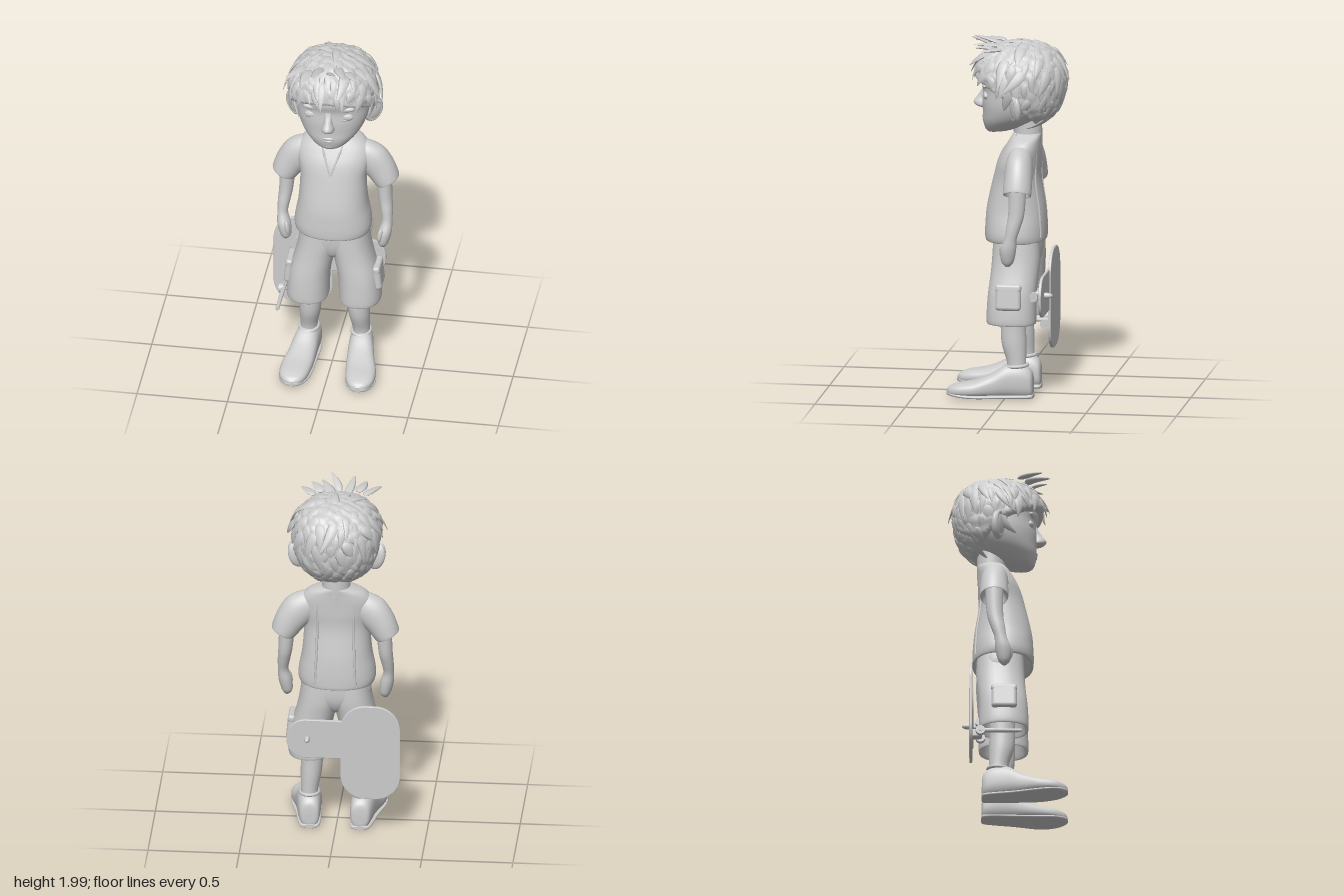
import * as THREE from 'three';
import { mergeGeometries } from 'three/addons/utils/BufferGeometryUtils.js';
import { RoundedBoxGeometry } from 'three/addons/geometries/RoundedBoxGeometry.js';

const clay = new THREE.MeshStandardMaterial({ color: 0xcccccc, side: THREE.DoubleSide });
clay.name = 'clay grey';

let seed = 7;
const rnd = () => (seed = (seed * 16807) % 2147483647) / 2147483647;

const cubic = (a, b, c, d, t) =>
  b + 0.5 * t * (c - a + t * (2 * a - 5 * b + 4 * c - d + t * (3 * (b - c) + d - a)));

// Smooth skin through rings [cx, y, cz, rx, rz, slope], listed bottom to top
function loft(rings, n = 2, seg = 32, sub = 5) {
  const rows = [];
  const at = i => rings[Math.max(0, Math.min(rings.length - 1, i))];
  const val = (i, k) => at(i)[k] || 0;
  for (let i = 0; i < rings.length - 1; i++)
    for (let s = 0; s < sub; s++)
      rows.push([0, 1, 2, 3, 4, 5].map(k =>
        cubic(val(i - 1, k), val(i, k), val(i + 1, k), val(i + 2, k), s / sub)));
  rows.push([0, 1, 2, 3, 4, 5].map(k => val(rings.length - 1, k)));
  const pos = [], idx = [];
  const addRow = ([cx, y, cz, rx, rz, sl]) => {
    for (let j = 0; j < seg; j++) {
      const a = j / seg * Math.PI * 2, c = Math.cos(a), s = Math.sin(a);
      const dx = rx * Math.sign(c) * Math.abs(c) ** (2 / n);
      pos.push(cx + dx, y + sl * dx, cz + rz * Math.sign(s) * Math.abs(s) ** (2 / n));
    }
  };
  rows.forEach(addRow);
  for (let i = 0; i < rows.length - 1; i++)
    for (let j = 0; j < seg; j++) {
      const a = i * seg + j, b = i * seg + (j + 1) % seg;
      idx.push(a, a + seg, b, b, a + seg, b + seg);
    }
  // End caps with their own corners
  [rows[0], rows[rows.length - 1]].forEach((r, e) => {
    const base = pos.length / 3;
    addRow(r);
    pos.push(r[0], r[1], r[2]);
    for (let j = 0; j < seg; j++) {
      const a = base + j, b = base + (j + 1) % seg;
      idx.push(base + seg, e ? b : a, e ? a : b);
    }
  });
  const g = new THREE.BufferGeometry();
  g.setAttribute('position', new THREE.Float32BufferAttribute(pos, 3));
  g.setIndex(idx);
  g.computeVertexNormals();
  return g;
}

const ball = (x, y, z, rx, ry, rz, tilt = 0) =>
  new THREE.SphereGeometry(1, 24, 16).scale(rx, ry, rz).rotateZ(tilt).translate(x, y, z);
const tube = (pts, r) => new THREE.TubeGeometry(
  new THREE.CatmullRomCurve3(pts.map(p => new THREE.Vector3(...p))), 24, r, 6);

// Rounded flat plate standing in the xy plane
function deck(w, h, r, x, y, z) {
  const s = new THREE.Shape(), a = w / 2 - r, b = h / 2 - r, q = Math.PI / 2;
  s.absarc(a, b, r, 0, q);
  s.absarc(-a, b, r, q, 2 * q);
  s.absarc(-a, -b, r, 2 * q, 3 * q);
  s.absarc(a, -b, r, 3 * q, 4 * q);
  return new THREE.ExtrudeGeometry(s, { depth: 0.008, bevelSize: 0.004, bevelThickness: 0.004, bevelSegments: 2, curveSegments: 16 })
    .translate(x, y, z - 0.004);
}

// Point on the hair mass for a unit direction
function hairPoint(d) {
  const p = 2.4;
  let r = (Math.abs(d.x) ** p + Math.abs(d.y) ** p + Math.abs(d.z) ** p) ** (-1 / p);
  const edge = -0.42 + 0.5 * d.z + Math.min(0, d.z) * 0.6;
  r *= 0.72 + 0.28 * THREE.MathUtils.smoothstep(d.y, edge - 0.1, edge + 0.06);
  r *= 1 + 0.018 * Math.sin(d.x * 23 + d.z * 9) * Math.sin(d.y * 17 + 2) + 0.012 * Math.sin(d.z * 31 - d.x * 14);
  return new THREE.Vector3(d.x * r * 0.236, 1.755 + d.y * r * (d.y > 0 ? 0.203 : 0.265), -0.06 + d.z * r * 0.247);
}

// Flat, bent, tapering lock of hair from a root along a direction
function lock(root, dir, normal, w, len, curl) {
  const g = new THREE.SphereGeometry(1, 8, 8), p = g.attributes.position;
  const side = (rnd() - 0.5) * 0.9;
  for (let i = 0; i < p.count; i++) {
    const t = (p.getY(i) + 1) / 2, taper = 1.15 - 0.75 * t;
    p.setXYZ(i, p.getX(i) * w * taper + side * len * t * t, (t - 0.12) * len,
      p.getZ(i) * w * 0.36 * taper - curl * len * t * t);
  }
  const x = new THREE.Vector3().crossVectors(dir, normal).normalize();
  const z = new THREE.Vector3().crossVectors(x, dir).normalize();
  g.applyMatrix4(new THREE.Matrix4().makeBasis(x, dir, z).setPosition(root));
  for (let i = 0; i < p.count; i++) p.setY(i, Math.min(p.getY(i), 2));
  g.computeVertexNormals();
  return g;
}

export function createModel() {
  const model = new THREE.Group();
  model.name = 'boy';
  const add = (name, geo) => {
    const m = new THREE.Mesh(geo, clay);
    m.name = name;
    model.add(m);
  };

  // Head and face
  add('head', loft([
    [0, 1.455, 0.09, 0.035, 0.03], [0, 1.473, 0.055, 0.085, 0.08], [0, 1.52, 0.01, 0.14, 0.138],
    [0, 1.57, -0.02, 0.175, 0.168], [0, 1.63, -0.04, 0.196, 0.19], [0, 1.7, -0.05, 0.202, 0.197],
    [0, 1.76, -0.05, 0.2, 0.21], [0, 1.84, -0.06, 0.185, 0.2], [0, 1.91, -0.06, 0.12, 0.14], [0, 1.93, -0.06, 0.03, 0.04]], 2.15, 40));
  add('nose', loft([
    [0, 1.585, 0.14, 0.012, 0.015], [0, 1.597, 0.15, 0.034, 0.038], [0, 1.618, 0.152, 0.034, 0.05],
    [0, 1.65, 0.146, 0.024, 0.034], [0, 1.69, 0.138, 0.022, 0.017], [0, 1.73, 0.13, 0.018, 0.014]], 2, 20));
  add('upperLip', ball(0, 1.538, 0.135, 0.042, 0.012, 0.019));
  add('lowerLip', ball(0, 1.52, 0.132, 0.036, 0.013, 0.02));
  add('chin', ball(0, 1.485, 0.11, 0.045, 0.028, 0.03));
  add('neck', loft([[0, 1.36, -0.1, 0.085, 0.075], [0, 1.44, -0.1, 0.078, 0.077], [0, 1.58, -0.09, 0.08, 0.085]]));

  // Hair mass with locks flowing outward from the crown, short over the face
  const mass = new THREE.SphereGeometry(1, 96, 64), mp = mass.attributes.position;
  const v = new THREE.Vector3();
  for (let i = 0; i < mp.count; i++) {
    const h = hairPoint(v.fromBufferAttribute(mp, i).normalize());
    mp.setXYZ(i, h.x, h.y, h.z);
  }
  mass.computeVertexNormals();
  add('hairMass', mass);
  const crown = new THREE.Vector3(0, 0.95, -0.3).normalize(), locks = [];
  for (let i = 0; i < 180; i++) {
    const y = 1 - 1.75 * (i + 0.5) / 180, a = i * 2.39996, s = Math.sqrt(1 - y * y);
    const d = new THREE.Vector3(s * Math.cos(a), y, s * Math.sin(a));
    if (y < -0.2 + 0.5 * d.z + Math.min(0, d.z) * 0.5) continue;
    const dir = d.clone().sub(crown).addScaledVector(d, -d.clone().sub(crown).dot(d)).normalize();
    dir.addScaledVector(d, 0.04 + rnd() * (d.z < -0.2 ? 0.14 : 0.32)).normalize();
    const fringe = d.z > 0.2 && y < 0.55 ? 0.62 : 1;
    locks.push(lock(hairPoint(d).addScaledVector(d, -0.003), dir, d,
      0.02 + rnd() * 0.02, (0.09 + rnd() * 0.08) * fringe, 0.32));
  }
  // Uneven raised tufts over the forehead: x, z, direction x and y, width, length
  [[-0.15, 0.06, -0.7, 0.08, 0.03, 0.16], [-0.11, 0.1, -0.35, 0.1, 0.036, 0.14], [-0.05, 0.06, -0.25, 0.3, 0.03, 0.18],
    [0.0, 0.1, 0.05, 0.55, 0.026, 0.14], [0.04, 0.04, 0.05, 0.2, 0.036, 0.17], [0.1, 0.08, 0.1, 0.2, 0.036, 0.11],
    [0.14, 0.04, 0.6, 0.1, 0.032, 0.13]].forEach(([x, z, dx, dy, w, len]) =>
    locks.push(lock(new THREE.Vector3(x, 1.935, z), new THREE.Vector3(dx, dy, 0.85).normalize(),
      new THREE.Vector3(0, 1, 0), w, len, 0.1)));
  add('hairLocks', mergeGeometries(locks));

  // Shirt with a hollow hem
  add('shirt', loft([
    [0, 0.92, -0.04, 0.17, 0.12], [0, 0.87, -0.038, 0.192, 0.15], [0, 0.865, -0.036, 0.204, 0.165],
    [0, 0.9, -0.035, 0.212, 0.168], [0, 0.96, -0.035, 0.206, 0.166], [0, 1.05, -0.035, 0.19, 0.158],
    [0, 1.2, -0.04, 0.182, 0.13], [0, 1.3, -0.055, 0.2, 0.117], [0, 1.37, -0.073, 0.197, 0.1],
    [0, 1.42, -0.088, 0.158, 0.086], [0, 1.445, -0.096, 0.108, 0.08], [0, 1.456, -0.098, 0.083, 0.077]], 2.3, 48));

  // Hips
  add('shortsHips', loft([
    [0, 0.69, -0.045, 0.02, 0.07], [0, 0.72, -0.048, 0.09, 0.105], [0, 0.79, -0.052, 0.185, 0.128], [0, 0.9, -0.05, 0.18, 0.13]], 2.3));

  for (const s of [1, -1]) {
    const side = s > 0 ? 'left' : 'right';
    // The right limbs sit slightly closer to the middle
    const limb = x => x * s + (s < 0 ? 0.012 : 0);
    const mir = rings => rings.map(([x, y, z, a, b, sl = 0]) => [limb(x), y, z, a, b, sl * s]);

    // Eyes, brows and ears
    add(side + 'Eyelid', ball(s * 0.088, 1.674, 0.112, 0.048, 0.026, 0.022, s * -0.08));
    add(side + 'LashLine', tube([[s * 0.045, 1.664, 0.133], [s * 0.088, 1.657, 0.131], [s * 0.132, 1.664, 0.106]], 0.004));
    add(side + 'Brow', ball(s * 0.085, 1.725, 0.119, 0.058, 0.018, 0.02, s * 0.06));
    add(side + 'Ear', ball(0, 0, 0, 0.055, 0.08, 0.028).rotateY(s * 0.5).rotateZ(-s * 0.24).translate(s * 0.215, 1.622, -0.065));
    add(side + 'EarRim', new THREE.TorusGeometry(0.05, 0.011, 8, 24).scale(0.8, 1.28, 1)
      .rotateY(s * 0.5).rotateZ(-s * 0.24).translate(s * 0.222, 1.626, -0.055));

    // Sleeve and arm
    add(side + 'Sleeve', loft(mir([
      [0.27, 1.2, -0.085, 0.05, 0.05, 0.5], [0.288, 1.166, -0.085, 0.056, 0.069, 0.5], [0.29, 1.164, -0.085, 0.064, 0.078, 0.5],
      [0.252, 1.235, -0.085, 0.07, 0.077, 0.7], [0.198, 1.3, -0.082, 0.07, 0.074, 0.9], [0.13, 1.345, -0.08, 0.055, 0.064, 1.05],
      [0.08, 1.36, -0.088, 0.035, 0.05, 1.1]])));
    add(side + 'Arm', loft(mir([
      [0.275, 0.757, -0.03, 0.012, 0.012], [0.275, 0.785, -0.03, 0.03, 0.034], [0.285, 0.85, -0.035, 0.037, 0.044],
      [0.295, 0.915, -0.05, 0.029, 0.034], [0.29, 0.98, -0.065, 0.034, 0.04], [0.28, 1.06, -0.08, 0.039, 0.045],
      [0.27, 1.22, -0.085, 0.044, 0.05]]), 2, 24));
    add(side + 'Thumb', ball(limb(0.262), 0.84, 0.002, 0.014, 0.042, 0.016, s * -0.15));
    add(side + 'NeckTrim', tube([[s * 0.078, 1.452, -0.05], [s * 0.05, 1.385, 0.014], [s * 0.022, 1.31, 0.055], [0, 1.25, 0.075]], 0.006));
    add(side + 'BackSeam', tube([[s * 0.1, 1.36, -0.158], [s * 0.1, 1.2, -0.157], [s * 0.105, 1.02, -0.18], [s * 0.11, 0.89, -0.186]], 0.007));

    // Shorts leg with a hollow hem and cargo pocket
    add(side + 'ShortsLeg', loft(mir([
      [0.145, 0.52, -0.035, 0.085, 0.1], [0.148, 0.43, -0.033, 0.105, 0.126], [0.15, 0.422, -0.032, 0.115, 0.135],
      [0.15, 0.47, -0.032, 0.116, 0.136], [0.14, 0.58, -0.035, 0.113, 0.133], [0.113, 0.69, -0.045, 0.11, 0.132],
      [0.092, 0.78, -0.05, 0.112, 0.132], [0.088, 0.9, -0.05, 0.1, 0.125]]), 2.3));
    add(side + 'Pocket', new RoundedBoxGeometry(0.045, 0.14, 0.14, 4, 0.021).rotateZ(s * 0.1).translate(limb(0.25), 0.575, -0.03));
    add(side + 'PocketFlap', new RoundedBoxGeometry(0.04, 0.04, 0.142, 4, 0.015).rotateZ(s * 0.14).translate(limb(0.247), 0.63, -0.03));

    // Lower leg, sock and shoe
    add(side + 'Leg', loft(mir([
      [0.15, 0.12, -0.06, 0.05, 0.055], [0.15, 0.2, -0.06, 0.047, 0.053], [0.142, 0.3, -0.045, 0.058, 0.068],
      [0.137, 0.4, -0.04, 0.06, 0.07], [0.137, 0.55, -0.04, 0.06, 0.07]]), 2, 24));
    add(side + 'ShoeCuff', new THREE.TorusGeometry(0.05, 0.01, 8, 24).scale(1, 1.15, 1)
      .rotateX(Math.PI / 2).rotateX(0.08).translate(limb(0.15), 0.18, -0.06));
    add(side + 'Shoe', loft(mir([
      [0.145, -0.152, -0.06, 0.02, 0.03], [0.145, -0.142, -0.08, 0.05, 0.072], [0.15, -0.09, -0.095, 0.063, 0.092],
      [0.158, -0.01, -0.095, 0.069, 0.091], [0.168, 0.07, -0.071, 0.076, 0.067], [0.183, 0.16, -0.053, 0.084, 0.047],
      [0.19, 0.25, -0.045, 0.076, 0.037], [0.19, 0.3, -0.038, 0.048, 0.027], [0.19, 0.318, -0.034, 0.015, 0.012]]), 2.5)
      .rotateX(Math.PI / 2));
    add(side + 'Sole', loft(mir([
      [0.145, -0.154, -0.013, 0.025, 0.012], [0.145, -0.142, -0.013, 0.051, 0.013], [0.15, -0.08, -0.013, 0.063, 0.013],
      [0.163, 0.03, -0.013, 0.071, 0.013], [0.183, 0.16, -0.014, 0.085, 0.013], [0.19, 0.25, -0.02, 0.077, 0.013],
      [0.19, 0.302, -0.025, 0.047, 0.012], [0.19, 0.32, -0.028, 0.016, 0.01]]), 2.6)
      .rotateX(Math.PI / 2));
  }

  // Two crossed boards behind the legs
  add('uprightBoard', deck(0.32, 0.55, 0.135, -0.195, 0.5, -0.212));
  add('levelBoard', deck(0.52, 0.22, 0.1, 0.0, 0.57, -0.205));
  const axle = (x, y, z, r, len) => new THREE.CylinderGeometry(r, r, len, 16).rotateZ(Math.PI / 2).translate(x, y, z);
  [[-0.255, 0.34, 'lower'], [0.15, 0.575, 'upper']].forEach(([x, y, name]) => {
    add(name + 'TruckBase', new RoundedBoxGeometry(0.05, 0.05, 0.05, 2, 0.012).translate(x, y, -0.185));
    add(name + 'TruckAxle', axle(x, y, -0.16, 0.01, 0.14));
    for (const s of [1, -1]) add(name + 'Wheel', axle(x + s * 0.052, y, -0.16, 0.026, 0.026));
  });
  add('boardBolt', ball(0.15, 0.575, -0.225, 0.016, 0.016, 0.035));
  add('boardRod', new THREE.CylinderGeometry(0.01, 0.013, 0.25, 10).rotateX(Math.PI / 2).translate(-0.295, 0.345, -0.06));

  return model;
}
